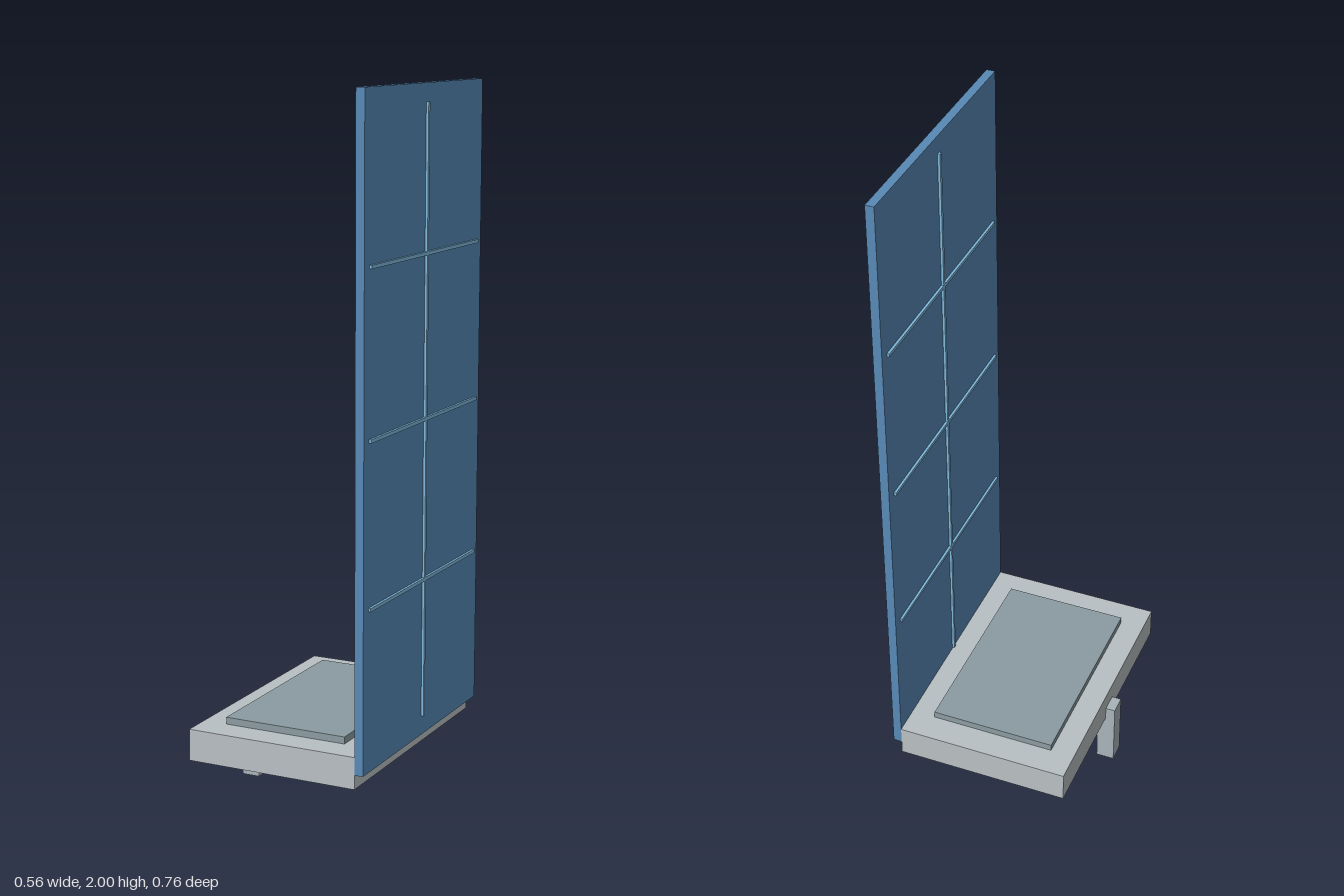
import * as THREE from 'three';

const paint = (color) => new THREE.MeshStandardMaterial({ color });

// Box given by its lower and upper limits on each axis
function block(name, material, [x0, x1], [y0, y1], [z0, z1]) {
  const mesh = new THREE.Mesh(new THREE.BoxGeometry(x1 - x0, y1 - y0, z1 - z0), material);
  mesh.position.set((x0 + x1) / 2, (y0 + y1) / 2, (z0 + z1) / 2);
  mesh.name = name;
  return mesh;
}

export function createModel() {
  const model = new THREE.Group();
  model.name = 'platformWithPanel';
  const stone = paint(0xb9c0c3);
  const steel = paint(0xa9b4b9);
  const slate = paint(0x8b9ca2);
  const blue = paint(0x5789b6);
  const paleBlue = paint(0x7fb8dc);

  // Platform, raised pad and support post
  model.add(
    block('platform', stone, [-0.255, 0.25], [0.16, 0.25], [-0.378, 0.378]),
    block('pad', slate, [-0.185, 0.18], [0.25, 0.27], [-0.295, 0.295]),
    block('post', steel, [-0.283, -0.23], [0, 0.2], [-0.027, 0.027]),
  );

  // Upright panel along the platform's left edge
  model.add(block('panel', blue, [0.25, 0.275], [0.2, 2], [-0.378, 0.378]));

  // Raised dividing strips on both faces of the panel
  const strips = new THREE.Group();
  strips.name = 'panelStrips';
  for (const depth of [[0.243, 0.25], [0.275, 0.282]]) {
    strips.add(block('verticalStrip', paleBlue, depth, [0.255, 1.95], [-0.005, 0.005]));
    for (const y of [0.65, 1.1, 1.55]) {
      for (const [z0, z1] of [[-0.348, -0.005], [0.005, 0.348]]) {
        strips.add(block('horizontalStrip', paleBlue, depth, [y - 0.005, y + 0.005], [z0, z1]));
      }
    }
  }
  model.add(strips);

  return model;
}
